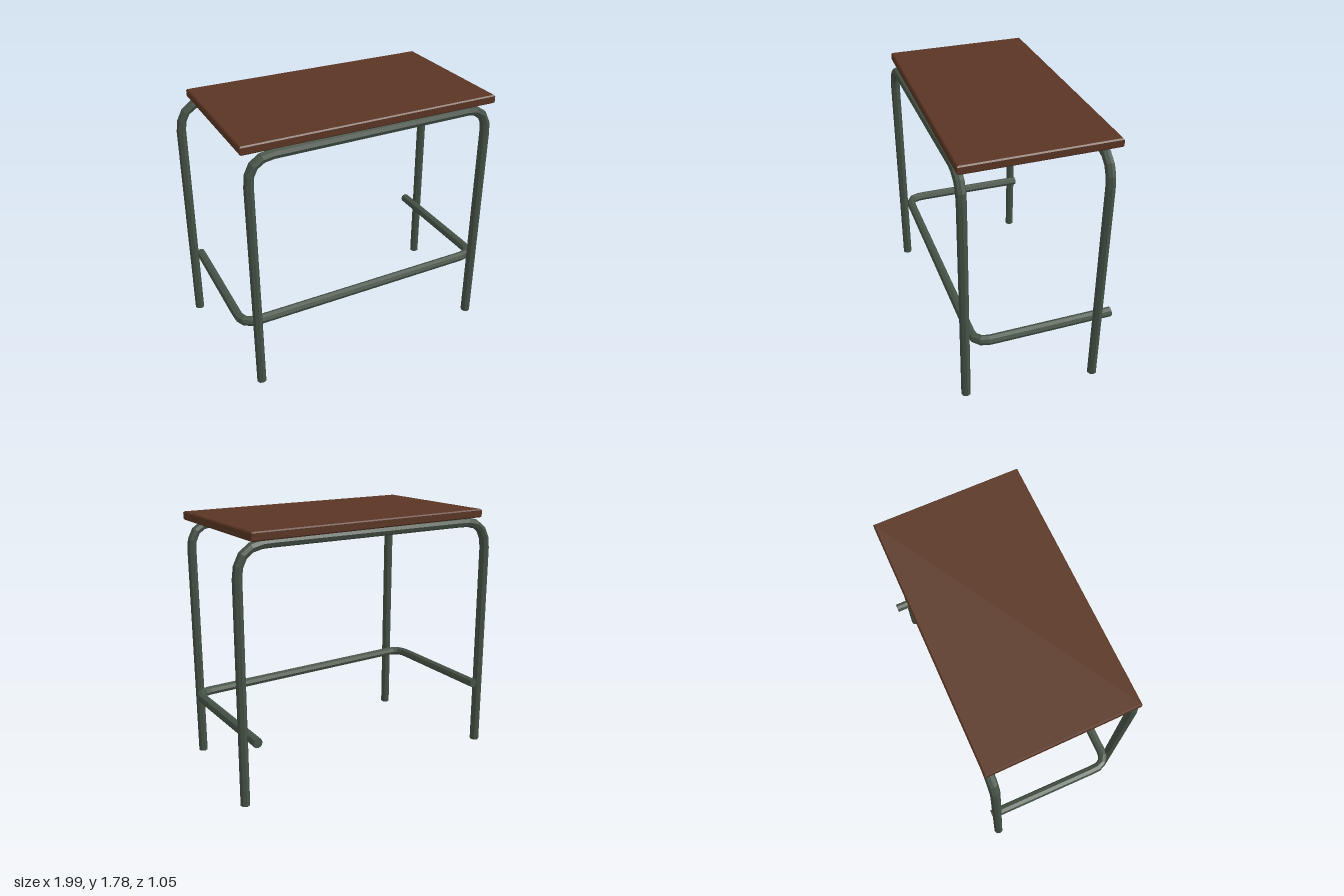
import * as THREE from 'three';

const RADIUS = 0.033, SIDES = 8;

// Path of straight runs with every inner corner rounded off
function bentPath(points, bend) {
  const p = points.map(a => new THREE.Vector3(...a));
  const path = new THREE.CurvePath();
  let from = p[0];
  for (let i = 1; i < p.length - 1; i++) {
    const enter = p[i].clone().add(p[i - 1].clone().sub(p[i]).setLength(bend));
    const leave = p[i].clone().add(p[i + 1].clone().sub(p[i]).setLength(bend));
    path.add(new THREE.LineCurve3(from, enter));
    path.add(new THREE.QuadraticBezierCurve3(enter, p[i], leave));
    from = leave;
  }
  path.add(new THREE.LineCurve3(from, p[p.length - 1]));
  return path;
}

// Bent steel tube with closed ends
function bentTube(name, points, bend, material) {
  const group = new THREE.Group();
  group.name = name;
  const path = bentPath(points, bend);
  const tube = new THREE.Mesh(new THREE.TubeGeometry(path, 72, RADIUS, SIDES, false), material);
  tube.name = name + 'Tube';
  group.add(tube);
  for (const [t, sign] of [[0, -1], [1, 1]]) {
    const cap = new THREE.Mesh(new THREE.CircleGeometry(RADIUS, SIDES), material);
    cap.name = name + 'EndCap';
    cap.position.copy(path.getPoint(t));
    cap.lookAt(cap.position.clone().addScaledVector(path.getTangent(t), sign));
    group.add(cap);
  }
  return group;
}

export function createModel() {
  const steel = new THREE.MeshStandardMaterial({ color: 0x455246, flatShading: true });
  steel.name = 'green painted steel';
  const wood = new THREE.MeshStandardMaterial({ color: 0x5a3523, flatShading: true });
  wood.name = 'brown wood';

  const model = new THREE.Group();
  model.name = 'desk';

  // Slightly skewed board with thin chamfered edges
  const b = 0.008;
  const outline = new THREE.Shape([[-0.875, -0.49], [0.9, -0.515], [0.9, 0.5], [-0.875, 0.52]]
    .map(([x, y]) => new THREE.Vector2(x, y)));
  const board = new THREE.ExtrudeGeometry(outline, {
    depth: 0.058 - 2 * b, bevelThickness: b, bevelSize: b, bevelOffset: -b, bevelSegments: 1,
  });
  board.rotateX(-Math.PI / 2).translate(0, 1.724 + b, 0);
  const top = new THREE.Mesh(board, wood);
  top.name = 'tableTop';
  model.add(top);

  // Two hoops, each forming a pair of legs and the rail under the board
  model.add(bentTube('frontLegFrame', [
    [-0.84, 0, 0.49], [-0.835, 1.695, 0.485], [0.865, 1.695, 0.485], [0.868, 0, 0.49],
  ], 0.17, steel));
  model.add(bentTube('backLegFrame', [
    [-0.967, 0, -0.49], [-0.945, 1.695, -0.49], [0.955, 1.695, -0.405], [0.962, 0, -0.4],
  ], 0.2, steel));

  // U-shaped foot rail joining the legs
  model.add(bentTube('footRail', [
    [-0.905, 0.475, -0.51], [-0.92, 0.475, 0.43], [0.915, 0.48, 0.435], [0.915, 0.475, -0.52],
  ], 0.11, steel));

  return model;
}
